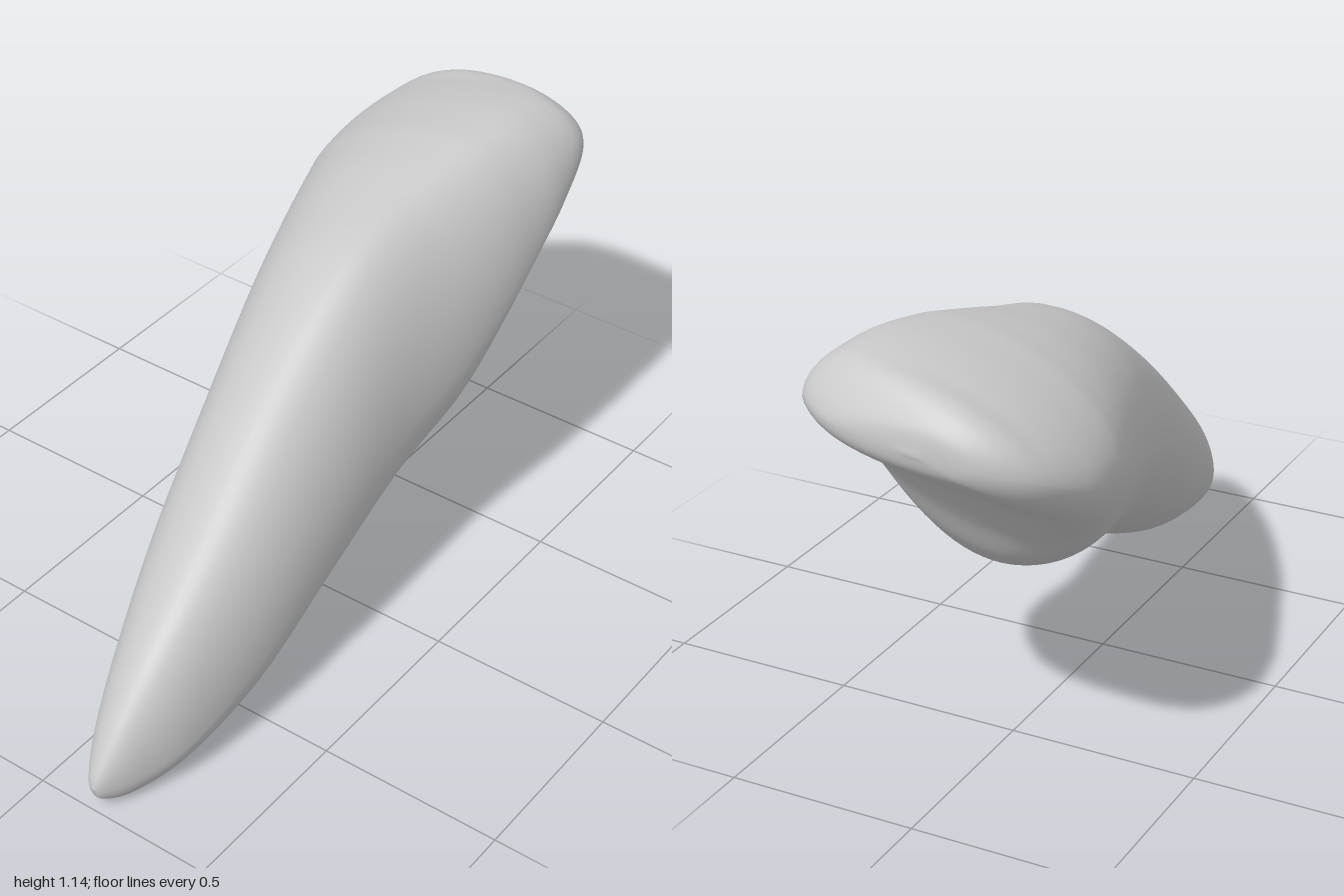
import * as THREE from 'three';
import { mergeVertices } from 'three/addons/utils/BufferGeometryUtils.js';

// Cross-sections from root tip to biting edge:
// [z, xLeft, xRight, yBottom, yTop, yAtLeft, yAtRight, xAtBottom]
const SECTIONS = [
  [1, 0.165, 0.165, 0.07, 0.07, 0.07, 0.07, 0.165],
  [0.98, 0.135, 0.19, 0.03, 0.115, 0.075, 0.065, 0.17],
  [0.9, 0.087, 0.235, 0.003, 0.225, 0.115, 0.075, 0.185],
  [0.75, 0.03, 0.287, 0.015, 0.38, 0.215, 0.115, 0.195],
  [0.5, -0.05, 0.317, 0.075, 0.57, 0.365, 0.225, 0.2],
  [0.2, -0.12, 0.315, 0.2, 0.795, 0.54, 0.39, 0.195],
  [-0.1, -0.202, 0.31, 0.315, 0.99, 0.67, 0.53, 0.17],
  [-0.35, -0.275, 0.338, 0.388, 1.073, 0.75, 0.64, 0.1],
  [-0.5, -0.32, 0.35, 0.48, 1.113, 0.8, 0.73, 0.02],
  [-0.6, -0.345, 0.353, 0.605, 1.133, 0.83, 0.8, -0.1],
  [-0.75, -0.352, 0.35, 0.75, 1.143, 0.86, 0.92, -0.23],
  [-0.9, -0.3, 0.31, 0.85, 1.122, 0.92, 1.01, -0.22],
  [-0.98, -0.19, 0.19, 0.92, 1.045, 0.955, 1.0, -0.14],
  [-1, -0.035, -0.035, 0.975, 0.975, 0.975, 0.975, -0.035],
];
const ROWS = 104, SIDES = 64;
const { lerp, smoothstep } = THREE.MathUtils;

// Smooth interpolation of all section values along the length
const splines = [1, 3, 5, 7].map((k) => new THREE.CatmullRomCurve3(
  SECTIONS.map((s) => new THREE.Vector3(s[0], s[k], s[k + 1] ?? 0)), false, 'catmullrom', 0.5));

function sectionAt(t) {
  const [a, b, c, d] = splines.map((curve) => curve.getPoint(t));
  const back = -a.x;
  const neck = smoothstep(back, -0.8, -0.1) * (1 - smoothstep(back, 0.3, 0.75));
  const crown = smoothstep(back, 0.3, 0.7);
  const edge = smoothstep(back, 0.85, 1);
  return {
    z: a.x, xl: a.y, xr: a.z, yb: b.y, yt: b.z, yl: c.y, yr: c.z, xb: d.y,
    // The top ridge bows to the right side at the neck and meets the middle of the edge
    xt: lerp(0.165 - 0.065 * neck, -0.035, edge),
    // Arc exponents, left to top onwards: below 1 is fuller, above 1 is flatter
    bend: [
      1 - 0.06 * neck + 0.15 * crown * (1 - edge),
      1 + 0.06 * neck,
      1 - 0.06 * neck + 0.28 * crown * (1 - edge),
      1 + 0.08 * neck,
    ],
  };
}

// Closed outline of four quarter arcs: left to top, right, bottom and back
function outlinePoint({ z, xl, xr, yb, yt, yl, yr, xt, xb, bend }, j) {
  const quarter = Math.floor((j * 4) / SIDES);
  const angle = (((j * 4) / SIDES) % 1) * Math.PI / 2;
  const c = Math.cos(angle) ** bend[quarter], s = Math.sin(angle) ** bend[quarter];
  if (quarter === 0) return [xt + (xl - xt) * c, yl + (yt - yl) * s, z];
  if (quarter === 1) return [xt + (xr - xt) * s, yr + (yt - yr) * c, z];
  if (quarter === 2) return [xb + (xr - xb) * c, yr + (yb - yr) * s, z];
  return [xb + (xl - xb) * s, yl + (yb - yl) * c, z];
}

function loft() {
  const position = [], index = [];
  for (let i = 0; i <= ROWS; i++) {
    const section = sectionAt(i / ROWS);
    for (let j = 0; j < SIDES; j++) position.push(...outlinePoint(section, j));
  }
  for (let i = 0; i < ROWS; i++) {
    for (let j = 0; j < SIDES; j++) {
      const a = i * SIDES + j, b = i * SIDES + ((j + 1) % SIDES);
      const c = a + SIDES, d = b + SIDES;
      // The end rows close to a single point
      if (i > 0) index.push(a, b, c);
      if (i < ROWS - 1) index.push(b, d, c);
    }
  }
  const raw = new THREE.BufferGeometry();
  raw.setAttribute('position', new THREE.Float32BufferAttribute(position, 3));
  raw.setIndex(index);
  const geometry = mergeVertices(raw, 1e-5);
  geometry.computeVertexNormals();
  return geometry;
}

export function createModel() {
  const group = new THREE.Group();
  group.name = 'incisorTooth';
  const enamel = new THREE.MeshStandardMaterial({ color: 0xc8c8c8 });
  enamel.name = 'grey enamel';

  // Root and crown form one continuous smooth surface
  const tooth = new THREE.Mesh(loft(), enamel);
  tooth.name = 'rootAndCrown';
  group.add(tooth);
  return group;
}
